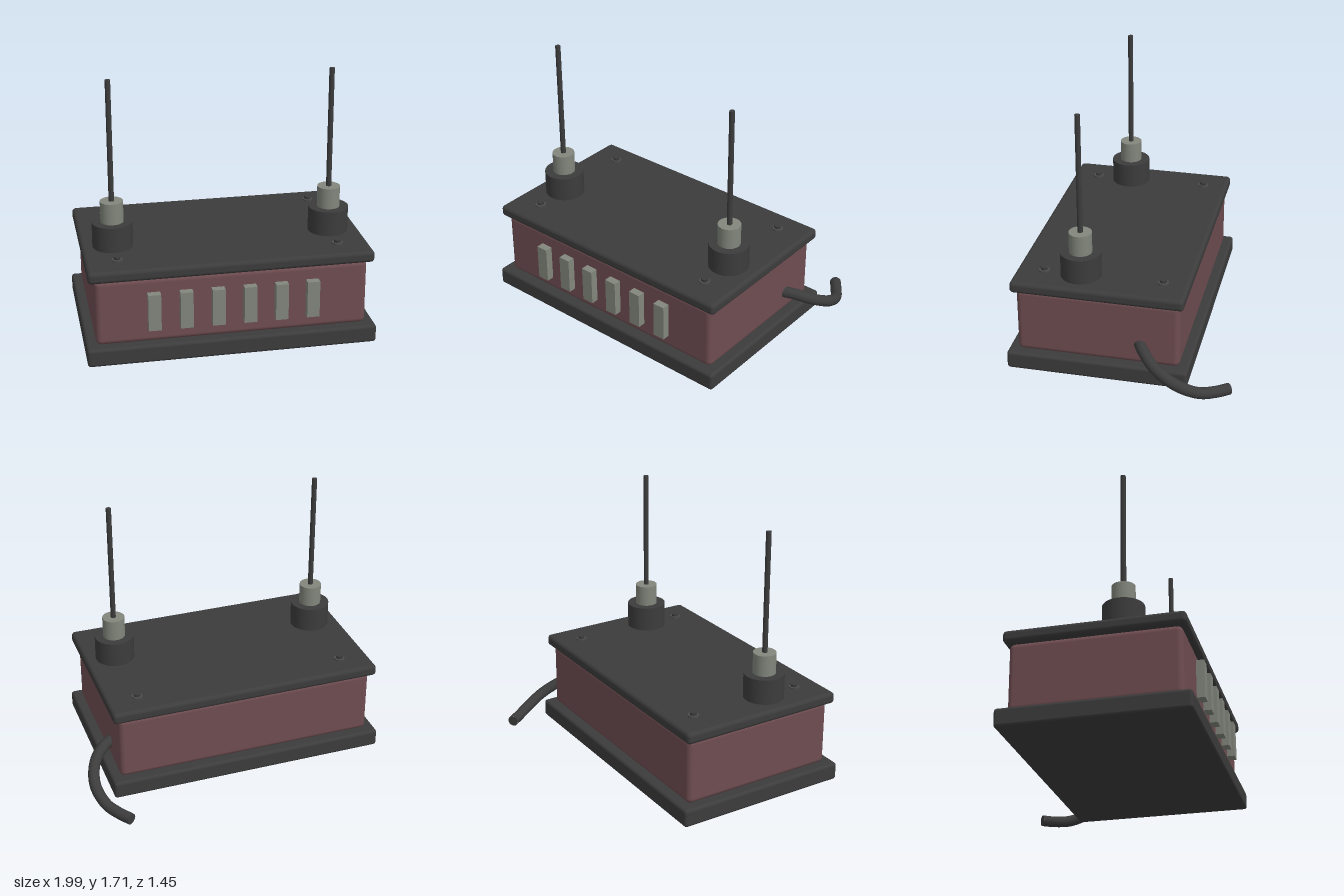
import * as THREE from 'three';
import { RoundedBoxGeometry } from 'three/addons/geometries/RoundedBoxGeometry.js';

const material = (name, color) => {
  const m = new THREE.MeshStandardMaterial({ color });
  m.name = name;
  return m;
};

export function createModel() {
  const charcoal = material('charcoal', 0x3c3c3c);
  const maroon = material('dull maroon', 0x6f4d51);
  const grey = material('warm grey', 0x82867c);
  const steel = material('dark steel', 0x4a4b49);

  const model = new THREE.Group();
  model.name = 'transmitterBox';

  const add = (parent, name, geometry, mat, x, y, z) => {
    const mesh = new THREE.Mesh(geometry, mat);
    mesh.name = name;
    mesh.position.set(x, y, z);
    parent.add(mesh);
    return mesh;
  };
  const slab = (name, w, y0, y1, d, r, mat) =>
    add(model, name, new RoundedBoxGeometry(w, y1 - y0, d, 4, r), mat, -0.08, (y0 + y1) / 2, 0.1425);
  // Upright cylinder given by its bottom and top heights
  const post = (parent, name, r, y0, y1, sides, mat) =>
    add(parent, name, new THREE.CylinderGeometry(r, r, y1 - y0, sides), mat, 0, (y0 + y1) / 2, 0);

  // Housing
  slab('basePlate', 1.84, 0.017, 0.135, 1.165, 0.02, charcoal);
  slab('body', 1.72, 0.13, 0.565, 1.045, 0.035, maroon);
  slab('lid', 1.8, 0.56, 0.636, 1.105, 0.025, charcoal);

  // Row of front keys
  for (let i = 0; i < 6; i++) {
    add(model, 'frontKey', new THREE.BoxGeometry(0.08, 0.24, 0.05), grey, -0.58 + i * 0.2, 0.356, 0.702);
  }

  for (const x of [-0.78, 0.62]) {
    // Antenna with socket and collar
    const antenna = new THREE.Group();
    antenna.name = 'antenna';
    antenna.position.set(x, 0, 0.28);
    post(antenna, 'antennaSocket', 0.129, 0.625, 0.8, 32, charcoal);
    post(antenna, 'antennaCollar', 0.073, 0.79, 0.937, 32, grey);
    post(antenna, 'antennaRod', 0.017, 0.92, 1.72, 16, charcoal);
    model.add(antenna);

    // Lid screws
    for (const z of [-0.245, 0.52]) {
      const screw = new THREE.Group();
      screw.name = 'lidScrew';
      screw.position.set(x, 0, z);
      post(screw, 'screwWasher', 0.035, 0.63, 0.645, 20, steel);
      post(screw, 'screwHead', 0.023, 0.64, 0.662, 6, charcoal);
      model.add(screw);
    }
  }

  // Cable leaving the side and curling round to the back
  const path = new THREE.CatmullRomCurve3([
    [0.76, 0.267, -0.125], [0.83, 0.255, -0.165], [0.915, 0.205, -0.25],
    [0.957, 0.13, -0.39], [0.925, 0.068, -0.53], [0.87, 0.05, -0.62], [0.808, 0.046, -0.705],
  ].map((p) => new THREE.Vector3(...p)));
  add(model, 'cable', new THREE.TubeGeometry(path, 48, 0.037, 14), charcoal, 0, 0, 0);
  // Flat cap on the free end
  const cap = add(model, 'cableEnd', new THREE.CircleGeometry(0.037, 14), charcoal, 0.808, 0.046, -0.705);
  cap.quaternion.setFromUnitVectors(new THREE.Vector3(0, 0, 1), path.getTangent(1));

  return model;
}
